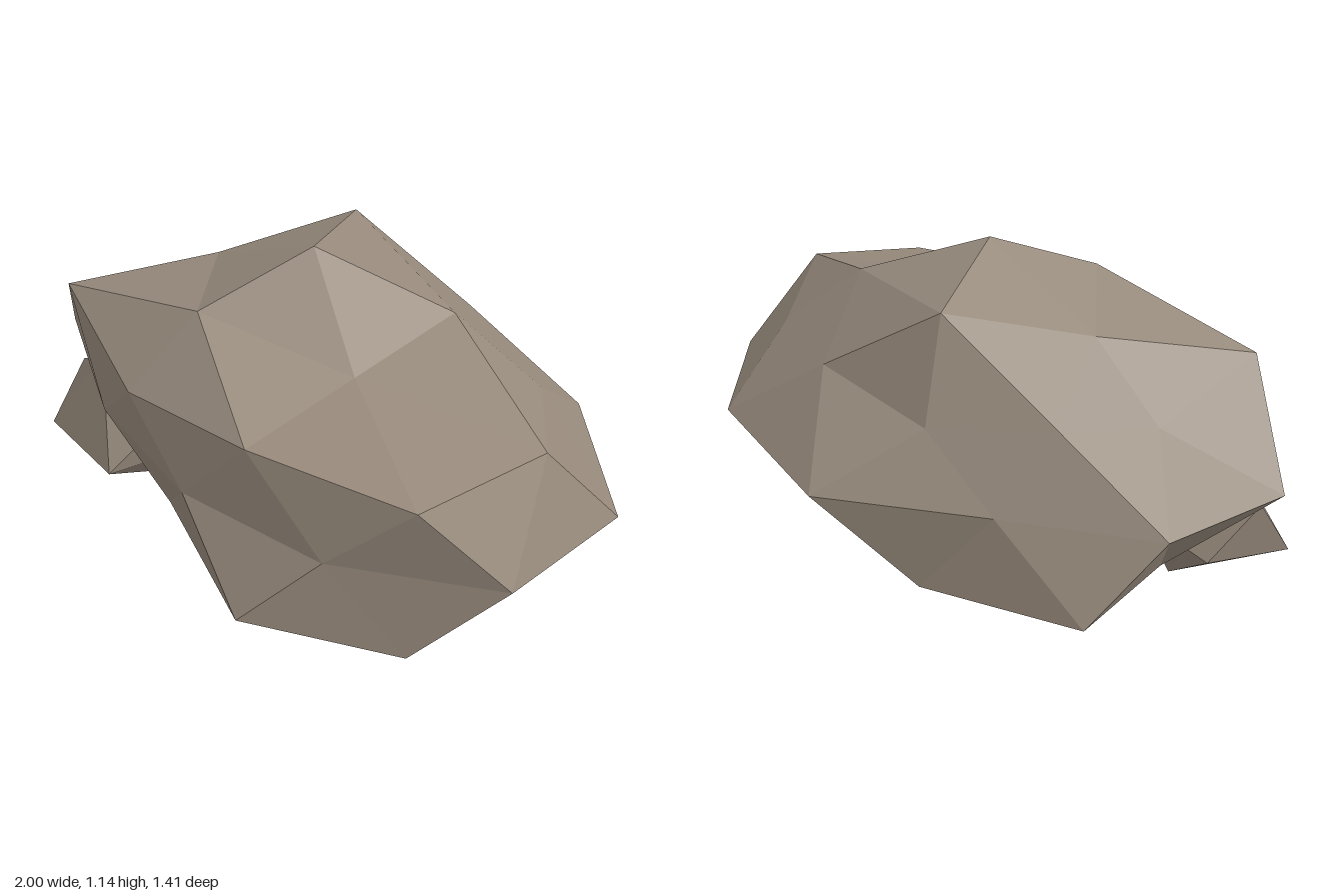
import * as THREE from 'three';
import { ConvexGeometry } from 'three/addons/geometries/ConvexGeometry.js';

const CENTRE = new THREE.Vector3(-0.01, 0.53, 0.05);
const SCALE = new THREE.Vector3(1, 0.58, 0.715);

// Ring of points on a flattened sphere: height, start angle and one radial factor per point
function ring(height, startDeg, factors) {
  const flat = Math.sqrt(1 - height * height);
  return factors.map((f, i) => {
    const a = THREE.MathUtils.degToRad(startDeg + (i * 360) / factors.length);
    return new THREE.Vector3(flat * Math.cos(a), height, flat * Math.sin(a)).multiplyScalar(f).multiply(SCALE);
  });
}

// Pole-up icosahedron, divided once, with every point pushed in or out
function boulderGeometry() {
  const top = ring(1, 0, [1.05])[0];
  const bottom = ring(-1, 0, [0.897])[0];
  const upperCap = ring(0.851, 36, [0.76, 0.95, 0.83, 1.05, 0.915]);
  const upperMid = ring(0.526, 0, [1.04, 0.92, 1.085, 0.81, 0.865]);
  const upper = ring(0.447, 36, [1.045, 0.908, 0.77, 0.815, 0.885]);
  const equator = ring(0, 18, [1.02, 0.87, 0.81, 0.84, 1.04, 0.945, 0.8, 1.06, 1.055, 1.065]);
  const lower = ring(-0.447, 0, [0.85, 1.075, 0.85, 1.055, 0.85]);
  const lowerMid = ring(-0.526, 36, [1.07, 0.81, 0.86, 0.97, 0.96]);
  const lowerCap = ring(-0.851, 0, [0.8, 0.79, 1.075, 0.965, 0.8]);

  const points = [];
  const face = (a, b, c) => {
    const normal = b.clone().sub(a).cross(c.clone().sub(a));
    const outward = normal.dot(a.clone().add(b).add(c)) > 0;
    points.push(a, ...(outward ? [b, c] : [c, b]));
  };
  // One large triangle split into four by its edge points
  const split = (a, b, c, ab, bc, ca) => {
    face(a, ab, ca);
    face(b, bc, ab);
    face(c, ca, bc);
    face(ab, bc, ca);
  };
  for (let k = 0; k < 5; k++) {
    const n = (k + 1) % 5;
    const e0 = equator[2 * k], e1 = equator[2 * k + 1], e2 = equator[(2 * k + 2) % 10];
    split(top, upper[k], upper[n], upperCap[k], upperMid[n], upperCap[n]);
    split(upper[k], upper[n], lower[n], upperMid[n], e2, e1);
    split(lower[k], lower[n], upper[k], lowerMid[k], e1, e0);
    split(bottom, lower[k], lower[n], lowerCap[k], lowerMid[k], lowerCap[n]);
  }
  const geometry = new THREE.BufferGeometry().setFromPoints(points);
  geometry.computeVertexNormals();
  return geometry;
}

export function createModel() {
  const group = new THREE.Group();
  group.name = 'rock';
  const stone = new THREE.MeshStandardMaterial({ color: 0x988b7d });
  stone.name = 'warm grey stone';
  stone.flatShading = true;

  // Main boulder
  const boulder = new THREE.Mesh(boulderGeometry(), stone);
  boulder.name = 'boulder';
  boulder.position.copy(CENTRE);
  group.add(boulder);

  // Small stone sunk into the front right flank
  const corners = [
    [-0.675, 0.59, 0.4], [-0.6, 0.55, 0.38], [-0.9, 0.43, 0.33], [-0.43, 0.4, 0.42],
    [-0.93, 0.21, 0.48], [-0.51, 0.25, 0.55], [-0.45, 0.26, 0.4], [-0.57, 0.11, 0.35],
    [-0.605, 0.05, 0.3], [-0.8, 0.22, 0.22], [-0.6, 0.35, 0.12],
  ].map((p) => new THREE.Vector3(...p));
  const sideStone = new THREE.Mesh(new ConvexGeometry(corners), stone);
  sideStone.name = 'sideStone';
  group.add(sideStone);

  return group;
}
